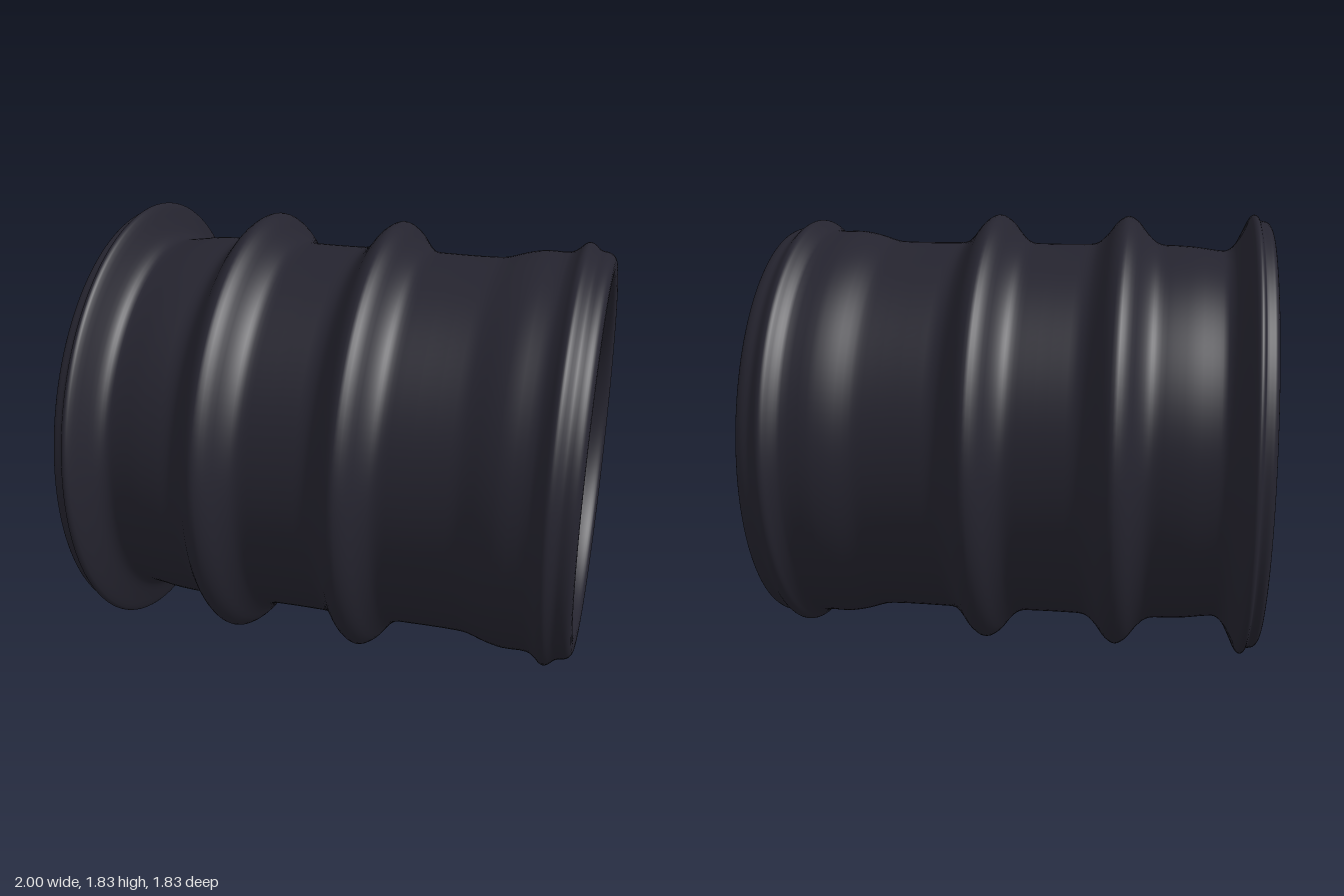
import * as THREE from 'three';

// Half profile of one bellows fold: offset along the axis, height share
const FOLD = [[-0.2, 0], [-0.145, 0.02], [-0.115, 0.12], [-0.08, 0.4], [-0.04, 0.82], [0, 1], [0.04, 0.82], [0.08, 0.4], [0.115, 0.12], [0.145, 0.02], [0.2, 0]];
const FOLD_CENTRES = [-0.42, 0.12];

function folds(baseRadius, height) {
  return FOLD_CENTRES.flatMap((c) => FOLD.map(([dx, h]) => [c + dx, baseRadius + h * height]));
}

export function createModel() {
  const model = new THREE.Group();
  model.name = 'bellowsSleeve';
  const rubber = new THREE.MeshStandardMaterial({ color: 0x25242f });
  rubber.name = 'dark rubber';

  // Outside, from the flanged end to the cuff end: [position, radius]
  const outer = [
    [-1, 0.75], [-1, 0.84], [-0.995, 0.868], [-0.98, 0.885], [-0.952, 0.892], [-0.942, 0.908],
    [-0.93, 0.914], [-0.915, 0.905], [-0.885, 0.845], [-0.855, 0.79], [-0.825, 0.768], [-0.79, 0.768], [-0.7, 0.78],
    ...folds(0.785, 0.118),
    [0.52, 0.785], [0.57, 0.79], [0.65, 0.814], [0.72, 0.827], [0.82, 0.828],
    [0.855, 0.848], [0.875, 0.866], [0.89, 0.871], [0.905, 0.866], [0.935, 0.842],
    [0.965, 0.836], [0.985, 0.826], [0.997, 0.808], [1, 0.79], [1, 0.765],
  ];
  // Inside, following the outside at an even wall thickness
  const inner = [
    [-0.99, 0.71], [-0.97, 0.69], [-0.92, 0.67], [-0.8, 0.66], [-0.7, 0.66],
    ...folds(0.66, 0.105),
    [0.52, 0.66], [0.65, 0.685], [0.72, 0.7], [0.85, 0.702], [0.93, 0.715], [0.97, 0.725], [0.993, 0.74],
  ].reverse();

  // One closed profile, its seam lying in the straight part of the bore
  const loop = [...inner.slice(-4), ...outer, ...inner.slice(0, -4)];
  const curve = new THREE.CatmullRomCurve3(
    loop.map(([x, r]) => new THREE.Vector3(r, x, 0)), true, 'centripetal');
  const profile = curve.getPoints(loop.length * 3).map((p) => new THREE.Vector2(p.x, p.y));

  const geometry = new THREE.LatheGeometry(profile, 128);
  geometry.rotateZ(-Math.PI / 2);
  const sleeve = new THREE.Mesh(geometry, rubber);
  sleeve.name = 'sleeve';
  sleeve.position.y = 0.914;
  model.add(sleeve);
  return model;
}
